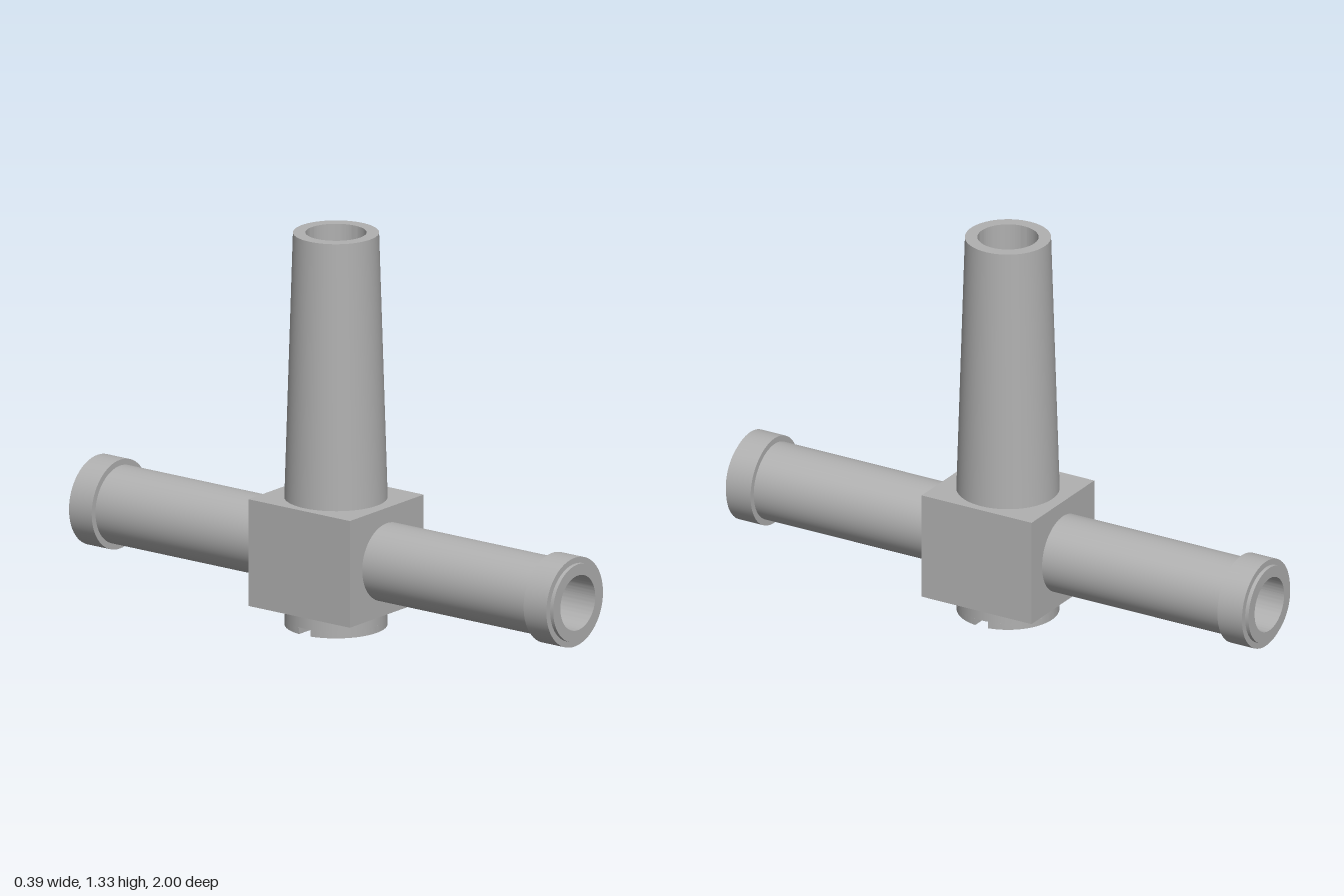
import * as THREE from 'three';
import { toCreasedNormals } from 'three/addons/utils/BufferGeometryUtils.js';

const AXIS_Y = 0.25;      // height of the cross pipe axis
const PIPE_BORE = 0.093;
const TOWER_BORE = 0.1;
const TOP = 1.333;
const BOX = { x: 0.197, y0: 0.07, y1: 0.433, z: 0.21 };

export function createModel() {
  const model = new THREE.Group();
  model.name = 'teeFitting';
  const grey = new THREE.MeshStandardMaterial({ color: 0xb0b0b0 });
  grey.name = 'grey';
  const greyInside = new THREE.MeshStandardMaterial({ color: 0xb0b0b0, side: THREE.DoubleSide });
  greyInside.name = 'grey inside';

  const add = (name, geometry, material = grey, parent = model) => {
    const mesh = new THREE.Mesh(geometry, material);
    mesh.name = name;
    parent.add(mesh);
    return mesh;
  };
  const turned = (profile) => toCreasedNormals(
    new THREE.LatheGeometry(profile.map(([r, y]) => new THREE.Vector2(r, y)), 64), 0.5);
  // Surface whose vertices follow a rule of u and v in 0..1
  const surface = (steps, rule) => {
    const g = new THREE.PlaneGeometry(1, 1, steps, 1);
    const p = g.attributes.position;
    for (let i = 0; i < p.count; i++) p.setXYZ(i, ...rule(p.getX(i) + 0.5, p.getY(i) + 0.5));
    return toCreasedNormals(g, 0.5);
  };

  // Hollow centre block, made of six faces with openings for the pipes
  const block = new THREE.Group();
  block.name = 'centreBlock';
  model.add(block);
  const midY = (BOX.y0 + BOX.y1) / 2;
  const halfY = (BOX.y1 - BOX.y0) / 2;
  const blockFace = (name, w, h, holeR, holeY, pos, rot) => {
    const s = new THREE.Shape([[-w, -h], [w, -h], [w, h], [-w, h]].map(([x, y]) => new THREE.Vector2(x, y)));
    if (holeR) s.holes.push(new THREE.Path().absarc(0, holeY, holeR, 0, Math.PI * 2, true));
    const m = add(name, new THREE.ShapeGeometry(s, 48), grey, block);
    m.position.set(...pos);
    m.rotation.set(...rot);
  };
  const Q = Math.PI / 2;
  blockFace('blockFront', BOX.x, halfY, 0.125, AXIS_Y - midY, [0, midY, BOX.z], [0, 0, 0]);
  blockFace('blockBack', BOX.x, halfY, 0.125, AXIS_Y - midY, [0, midY, -BOX.z], [0, Math.PI, 0]);
  blockFace('blockLeft', BOX.z, halfY, 0, 0, [BOX.x, midY, 0], [0, Q, 0]);
  blockFace('blockRight', BOX.z, halfY, 0, 0, [-BOX.x, midY, 0], [0, -Q, 0]);
  blockFace('blockTop', BOX.x, BOX.z, 0.16, 0, [0, BOX.y1, 0], [-Q, 0, 0]);
  blockFace('blockBottom', BOX.x, BOX.z, 0, 0, [0, BOX.y0, 0], [Q, 0, 0]);

  // Tapered tower with flat rim
  add('tower', turned([[0.169, BOX.y1], [0.141, TOP], [TOWER_BORE, TOP]]));

  // Cross pipe arms with end collars
  for (const side of [1, -1]) {
    const arm = add(side > 0 ? 'frontArm' : 'backArm', turned([
      [0.131, BOX.z], [0.131, 0.893], [0.151, 0.893], [0.151, 0.987],
      [0.131, 0.987], [0.131, 1], [PIPE_BORE, 1]]));
    arm.position.y = AXIS_Y;
    arm.rotation.x = side * Q;

    // Upper half of the pipe bore, cut back where the tower bore enters
    add('upperPipeBore', surface(48, (u, v) => {
      const x = PIPE_BORE * Math.cos(u * Math.PI);
      const start = Math.sqrt(TOWER_BORE ** 2 - x * x);
      return [x, AXIS_Y + PIPE_BORE * Math.sin(u * Math.PI), side * (start + v * (1 - start))];
    }), greyInside);

    // Small ledge beside the pipe bore at the foot of the tower bore
    const a = Math.acos(PIPE_BORE / TOWER_BORE);
    const ledge = add('boreLedge', new THREE.ShapeGeometry(
      new THREE.Shape().absarc(0, 0, TOWER_BORE, -a, a, false)), greyInside);
    ledge.position.y = AXIS_Y;
    ledge.rotation.set(-Q, 0, side > 0 ? 0 : Math.PI);
  }

  // Lower half of the pipe bore
  add('lowerPipeBore', surface(48, (u, v) => [
    PIPE_BORE * Math.cos(u * Math.PI), AXIS_Y - PIPE_BORE * Math.sin(u * Math.PI), 2 * v - 1,
  ]), greyInside);

  // Tower bore, ending on the curve where it meets the pipe bore
  add('towerBore', surface(128, (u, v) => {
    const x = TOWER_BORE * Math.cos(u * 2 * Math.PI);
    const foot = AXIS_Y + Math.sqrt(Math.max(0, PIPE_BORE ** 2 - x * x));
    return [x, foot + v * (TOP - foot), TOWER_BORE * Math.sin(u * 2 * Math.PI)];
  }), greyInside);

  // Bottom plug with a screwdriver slot running across x
  const plugR = 0.168, slotDepth = 0.023, slotHalf = 0.024;
  const plug = add('plug', new THREE.CylinderGeometry(plugR, plugR, BOX.y0 - slotDepth, 64));
  plug.position.y = (BOX.y0 + slotDepth) / 2;
  const b = Math.asin(slotHalf / plugR);
  for (const turn of [0, Math.PI]) {
    const half = new THREE.Shape().absarc(0, 0, plugR, b, Math.PI - b, false);
    const g = new THREE.ExtrudeGeometry(half, { depth: slotDepth, bevelEnabled: false, curveSegments: 32 });
    const lip = add('plugLip', toCreasedNormals(g, 0.5));
    lip.rotation.set(-Q, 0, turn);
  }
  return model;
}
